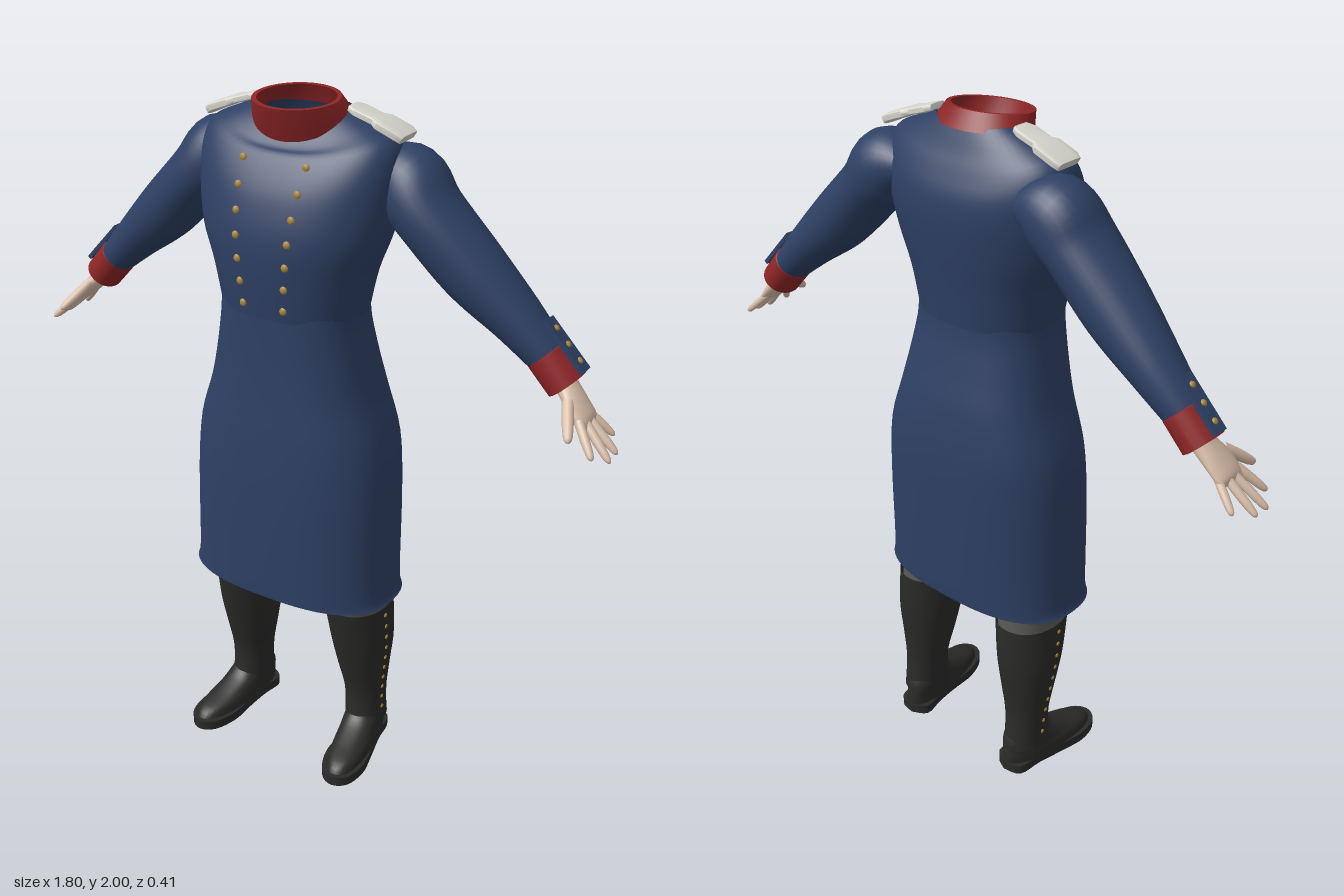
import * as THREE from 'three';
import { toCreasedNormals } from 'three/addons/utils/BufferGeometryUtils.js';

const paint = (name, color, side = THREE.FrontSide) => {
  const m = new THREE.MeshStandardMaterial({ color, side });
  m.name = name;
  return m;
};
const V = (x, y, z) => new THREE.Vector3(x, y, z);

// Catmull-Rom interpolation between rows of numbers
function smooth(rows, k = 4) {
  const out = [], at = i => rows[Math.min(Math.max(i, 0), rows.length - 1)];
  for (let i = 0; i < rows.length - 1; i++) {
    for (let s = 0; s < k; s++) {
      const t = s / k;
      out.push(rows[i].map((p1, c) => {
        const p0 = at(i - 1)[c], p2 = at(i + 1)[c], p3 = at(i + 2)[c];
        return p1 + 0.5 * t * (p2 - p0 + t * (2 * p0 - 5 * p1 + 4 * p2 - p3 + t * (3 * (p1 - p2) + p3 - p0)));
      }));
    }
  }
  out.push(rows[rows.length - 1]);
  return out;
}

// Skin over a list of closed rings
function loft(rings) {
  const n = rings[0].length, index = [];
  for (let i = 0; i < rings.length - 1; i++) {
    for (let j = 0; j < n; j++) {
      const a = i * n + j, b = i * n + (j + 1) % n;
      index.push(a, b, b + n, a, b + n, a + n);
    }
  }
  const g = new THREE.BufferGeometry().setFromPoints(rings.flat());
  g.setIndex(index);
  g.computeVertexNormals();
  return g;
}

const bend = (v, e) => Math.sign(v) * Math.abs(v) ** (2 / e);
const around = (n, f) => Array.from({ length: n }, (_, j) => {
  const t = j / n * Math.PI * 2;
  return f(Math.cos(t), Math.sin(t));
});

// Upright form, rows: [y, centre x, half width, front z, back z, slope, side lift]
function tower(rows, e = 2.3, n = 40) {
  return loft(rows.map(([y, cx, hw, zf, zb, slope = 0, lift = 0]) => around(n, (c, s) => {
    const z = (zf + zb) / 2 + bend(c, e) * (zf - zb) / 2;
    return V(cx + hw * bend(s, e), y - slope * (z + 0.02) + lift * s * s, z);
  })));
}

// Form along a path, rows: [x, y, z, half thickness, half depth in z]
function sweep(rows, e = 2, n = 24) {
  const p = rows.map(r => V(r[0], r[1], r[2]));
  return loft(rows.map(([, , , rn, rz], i) => {
    const d = p[Math.min(i + 1, p.length - 1)].clone().sub(p[Math.max(i - 1, 0)]).normalize();
    const u = V(0, 0, 1).addScaledVector(d, -d.z).normalize(), v = d.clone().cross(u);
    return around(n, (c, s) => p[i].clone().addScaledVector(u, rz * bend(c, e)).addScaledVector(v, rn * bend(s, e)));
  }));
}

export function createModel() {
  const blue = paint('blue cloth', 0x2e4064, THREE.DoubleSide);
  const red = paint('red facing', 0x8e2526, THREE.DoubleSide);
  const white = paint('white strap', 0xd6d5cc);
  const gold = paint('gold button', 0xa9873f);
  const skin = paint('skin', 0xdabfab);
  const leather = paint('black leather', 0x2a2a29, THREE.DoubleSide);
  const grey = paint('grey trousers', 0x5b5b57, THREE.DoubleSide);

  const model = new THREE.Group();
  model.name = 'uniform';
  const left = new THREE.Group();
  left.name = 'leftSide';
  const add = (parent, name, geometry, material) => {
    const mesh = new THREE.Mesh(geometry, material);
    mesh.name = name;
    parent.add(mesh);
    return mesh;
  };

  // Domed button, either placed directly or dropped onto a surface by a ray
  const buttonGeo = new THREE.SphereGeometry(1, 10, 6);
  const button = (name, at, normal, r) => {
    const b = add(left, name, buttonGeo, gold);
    b.position.copy(at);
    b.quaternion.setFromUnitVectors(V(0, 0, 1), normal);
    b.scale.set(r, r, r * 0.6);
  };
  const ray = new THREE.Raycaster();
  const buttonOn = (name, mesh, from, dir, r) => {
    ray.set(from, dir);
    const hit = ray.intersectObject(mesh)[0];
    if (hit) button(name, hit.point, dir.clone().negate(), r);
  };

  // Coat: skirt, bodice and standing collar
  add(model, 'coatSkirt', tower(smooth([
    [0.58, 0, 0.322, 0.186, -0.186], [0.63, 0, 0.311, 0.188, -0.19], [0.9, 0, 0.304, 0.19, -0.2],
    [1.07, 0, 0.288, 0.185, -0.202], [1.2, 0, 0.247, 0.177, -0.19], [1.3, 0, 0.223, 0.172, -0.168],
    [1.4, 0, 0.204, 0.17, -0.148], [1.46, 0, 0.198, 0.17, -0.145],
  ]), 2.6, 56), blue);
  const bodice = add(model, 'coatBodice', tower(smooth([
    [1.44, 0, 0.203, 0.174, -0.15, 0, 0], [1.55, 0, 0.226, 0.184, -0.162, 0, 0],
    [1.65, 0, 0.262, 0.185, -0.175, 0, 0], [1.74, 0, 0.282, 0.165, -0.183, 0, 0.01],
    [1.80, 0, 0.285, 0.14, -0.178, 0, 0.04], [1.855, 0, 0.265, 0.106, -0.156, 0, 0.045],
    [1.885, 0, 0.2, 0.085, -0.132, 0.15, 0.045], [1.92, 0, 0.128, 0.07, -0.108, 0.38, 0.035],
  ]), 2.3, 56), blue);
  add(model, 'collar', toCreasedNormals(tower([
    [1.918, 0, 0.138, 0.08, -0.118, 0.33, 0.02], [1.95, 0, 0.13, 0.097, -0.108, 0.22, 0.012],
    [1.987, 0, 0.118, 0.113, -0.094, 0.11, 0], [1.987, 0, 0.106, 0.1, -0.082, 0.11, 0],
    [1.95, 0, 0.116, 0.085, -0.096, 0.22, 0.012], [1.918, 0, 0.122, 0.068, -0.104, 0.33, 0.02],
  ], 2, 48), 0.7), red);
  for (let i = 0; i < 7; i++) {
    buttonOn('coatButton', bodice, V(0.093 - i * 0.0053, 1.84 - i * 0.061, 1), V(0, 0, -1), 0.011);
  }

  // Sleeve, cuff and buttoned cuff flap
  add(left, 'sleeve', sweep(smooth([
    [0.2, 1.81, -0.07, 0.06, 0.075], [0.28, 1.79, -0.07, 0.1, 0.1], [0.35, 1.72, -0.062, 0.088, 0.107],
    [0.477, 1.593, -0.07, 0.086, 0.094], [0.597, 1.488, -0.08, 0.067, 0.076], [0.7, 1.392, -0.083, 0.05, 0.056],
  ], 5), 2, 32), blue);
  add(left, 'cuff', toCreasedNormals(sweep([
    [0.682, 1.411, -0.083, 0.048, 0.055], [0.684, 1.409, -0.083, 0.055, 0.062],
    [0.746, 1.34, -0.083, 0.053, 0.061], [0.747, 1.339, -0.083, 0.047, 0.055], [0.73, 1.357, -0.083, 0, 0],
  ], 2, 32), 0.7), red);
  const along = V(0.69, -0.724, 0), out = V(0.724, 0.69, 0);
  const flapAt = V(0.692, 1.403, -0.085).addScaledVector(out, 0.056);
  const flap = add(left, 'cuffFlap', new THREE.BoxGeometry(0.16, 0.012, 0.045), blue);
  flap.position.copy(flapAt);
  flap.rotation.z = Math.atan2(along.y, along.x);
  for (const s of [-0.05, 0, 0.05]) {
    button('cuffButton', flapAt.clone().addScaledVector(along, s).addScaledVector(out, 0.007), out, 0.009);
  }

  // Shoulder strap with a broad outer end
  add(left, 'shoulderStrap', toCreasedNormals(sweep([
    [0.134, 1.965, -0.04, 0, 0], [0.135, 1.965, -0.04, 0.009, 0.026], [0.155, 1.959, -0.04, 0.01, 0.035],
    [0.205, 1.943, -0.042, 0.01, 0.034], [0.22, 1.938, -0.043, 0.012, 0.046],
    [0.275, 1.917, -0.044, 0.012, 0.047], [0.29, 1.908, -0.044, 0.012, 0.04], [0.291, 1.907, -0.044, 0, 0],
  ], 5, 24), 0.6), white);

  // Hand with spread fingers
  add(left, 'palm', sweep(smooth([
    [0.725, 1.362, -0.083, 0.03, 0.034], [0.748, 1.335, -0.08, 0.027, 0.038], [0.78, 1.302, -0.07, 0.022, 0.048],
    [0.812, 1.268, -0.064, 0.016, 0.05], [0.826, 1.254, -0.064, 0, 0.042],
  ])), skin);
  const digits = {
    thumb: [[0.768, 1.316, -0.035], [0.812, 1.25, 0.055], 0.015],
    indexFinger: [[0.805, 1.275, -0.025], [0.868, 1.205, 0.028], 0.012],
    middleFinger: [[0.81, 1.27, -0.05], [0.9, 1.186, -0.018], 0.012],
    ringFinger: [[0.81, 1.268, -0.075], [0.9, 1.189, -0.068], 0.012],
    littleFinger: [[0.803, 1.272, -0.1], [0.868, 1.208, -0.128], 0.011],
  };
  for (const [name, [a, b, r]] of Object.entries(digits)) {
    const rows = [[0, 1], [0.5, 1], [0.85, 0.8], [0.96, 0.5], [1, 0]].map(([t, w]) =>
      [...a.map((q, i) => q + (b[i] - q) * t), r * w, r * w]);
    add(left, name, sweep(smooth(rows, 2), 2, 12), skin);
  }

  // Trousers
  add(model, 'trouserSeat', tower(smooth([
    [0.84, 0, 0, 0, -0.02], [0.87, 0, 0.22, 0.12, -0.15], [1.0, 0, 0.25, 0.15, -0.17],
    [1.2, 0, 0.2, 0.14, -0.15], [1.33, 0, 0.17, 0.13, -0.12], [1.34, 0, 0, 0, -0.02],
  ])), grey);
  add(left, 'trouserLeg', tower(smooth([
    [0.47, 0.195, 0.082, 0.06, -0.135], [0.58, 0.187, 0.09, 0.1, -0.138],
    [0.75, 0.165, 0.11, 0.12, -0.15], [0.95, 0.14, 0.12, 0.13, -0.16],
  ])), grey);

  // Boot shaft with a row of side buttons
  const shaft = add(left, 'bootShaft', tower(smooth([
    [0.08, 0.212, 0.058, 0.022, -0.14], [0.12, 0.209, 0.058, 0.012, -0.136], [0.2, 0.207, 0.062, 0.01, -0.13],
    [0.3, 0.203, 0.077, 0.035, -0.138], [0.4, 0.2, 0.09, 0.06, -0.147], [0.53, 0.193, 0.095, 0.088, -0.146],
  ]), 2.1), leather);
  for (let i = 0; i < 10; i++) {
    buttonOn('bootButton', shaft, V(1, 0.5 - i * 0.041, -0.02 - i * 0.0043), V(-1, 0, 0), 0.007);
  }

  // Foot, toes turned slightly outward
  const foot = new THREE.Group();
  foot.name = 'foot';
  foot.position.set(0.21, 0, -0.05);
  foot.rotation.y = 0.14;
  left.add(foot);
  add(foot, 'footUpper', tower(smooth([
    [0.02, 0.002, 0.059, 0.248, -0.1], [0.05, 0.002, 0.057, 0.222, -0.099], [0.072, 0, 0.054, 0.15, -0.096],
    [0.1, 0, 0.053, 0.082, -0.092], [0.13, 0, 0.046, 0.05, -0.08],
  ]), 2.3), leather);
  const outline = [[0, -0.104], [0.05, -0.08], [0.052, 0], [0.062, 0.1], [0.065, 0.17], [0.042, 0.235], [-0.004, 0.256],
    [-0.045, 0.225], [-0.062, 0.15], [-0.052, 0.06], [-0.047, -0.01], [-0.047, -0.08], [0, -0.104]];
  const sole = new THREE.Shape(new THREE.SplineCurve(outline.map(p => new THREE.Vector2(...p))).getPoints(48));
  const soleGeo = new THREE.ExtrudeGeometry(sole, { depth: 0.03, bevelEnabled: false });
  soleGeo.rotateX(Math.PI / 2).translate(0, 0.03, 0);
  add(foot, 'sole', toCreasedNormals(soleGeo, 0.6), leather);

  // Mirror every sided part
  const right = left.clone();
  right.name = 'rightSide';
  right.scale.x = -1;
  model.add(left, right);
  return model;
}
